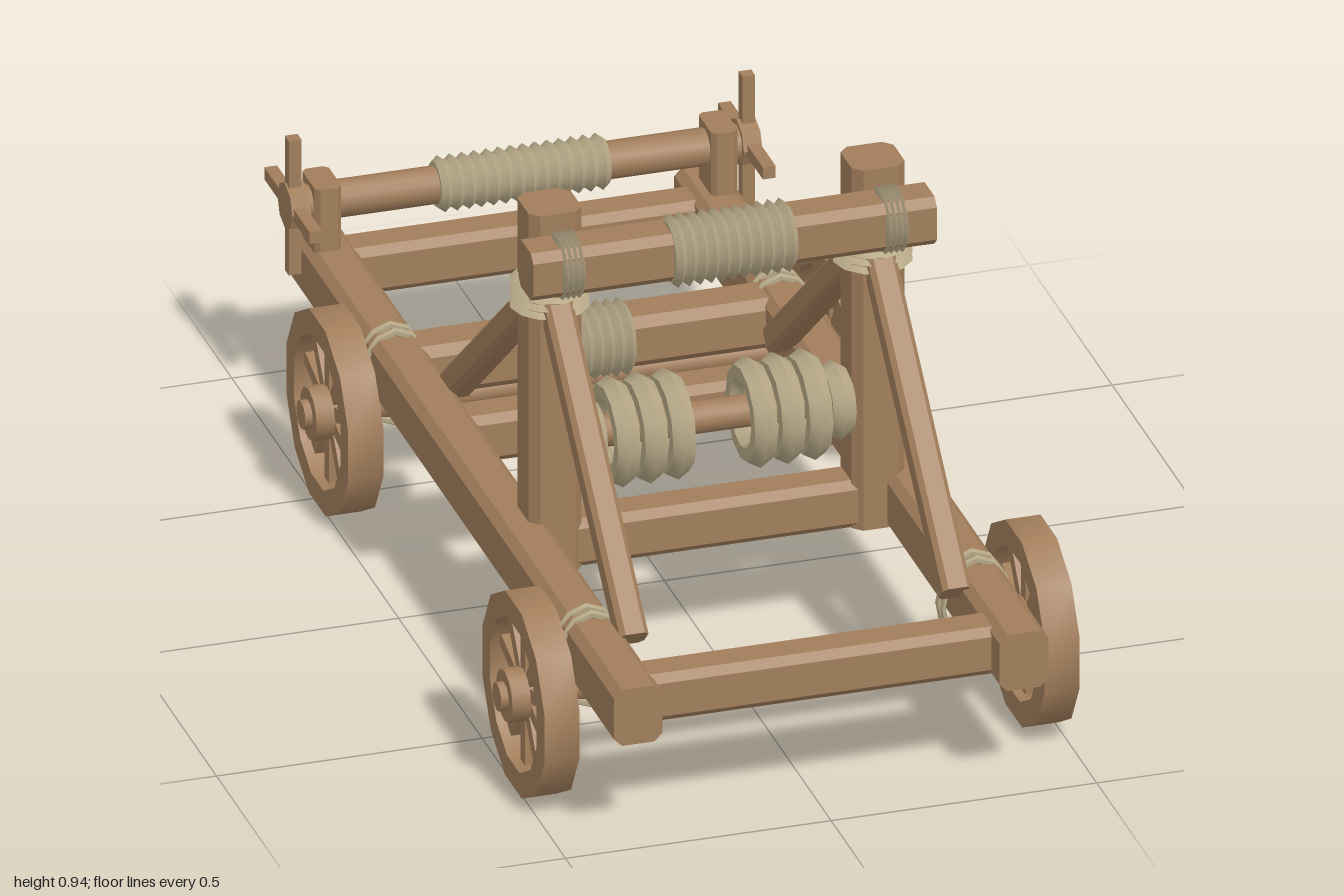
import * as THREE from 'three';
import { toCreasedNormals } from 'three/addons/utils/BufferGeometryUtils.js';

const wood = new THREE.MeshStandardMaterial({ color: 0xa27e5b });
wood.name = 'wood';
const rope = new THREE.MeshStandardMaterial({ color: 0xb5a786 });
rope.name = 'rope';

export function createModel() {
  const model = new THREE.Group();
  model.name = 'siegeEngine';
  const V = (x, y, z) => new THREE.Vector3(x, y, z);

  function add(name, geometry, material, parent = model) {
    const mesh = new THREE.Mesh(toCreasedNormals(geometry, 0.6), material);
    mesh.name = name;
    parent.add(mesh);
    return mesh;
  }

  // Timber with chamfered edges running from a to b
  function beam(name, a, b, w, h = w) {
    const c = Math.min(w, h) * 0.17, x = w / 2, y = h / 2;
    const outline = [[x - c, -y], [x, -y + c], [x, y - c], [x - c, y],
      [-x + c, y], [-x, y - c], [-x, -y + c], [-x + c, -y]];
    const shape = new THREE.Shape(outline.map(p => new THREE.Vector2(...p)));
    const length = a.distanceTo(b);
    const geo = new THREE.ExtrudeGeometry(shape, { depth: length, bevelEnabled: false });
    geo.translate(0, 0, -length / 2);
    const mesh = add(name, geo, wood);
    mesh.position.copy(a).lerp(b, 0.5);
    mesh.lookAt(b);
    return mesh;
  }

  // Round pole along x
  function pole(name, r, length, y, z, x = 0, parent = model, sides = 12) {
    const geo = new THREE.CylinderGeometry(r, r, length, sides);
    geo.rotateZ(Math.PI / 2);
    const mesh = add(name, geo, wood, parent);
    mesh.position.set(x, y, z);
    return mesh;
  }

  // Rope winding with ridged turns, along y or x
  function winding(name, turns, inner, outer, length, pos, alongX = true) {
    const pts = [];
    for (let i = 0; i <= turns * 2; i++) {
      pts.push(new THREE.Vector2(i % 2 ? outer : inner, (i / (turns * 2) - 0.5) * length));
    }
    pts.unshift(new THREE.Vector2(0.001, -length / 2));
    pts.push(new THREE.Vector2(0.001, length / 2));
    const geo = new THREE.LatheGeometry(pts, 12);
    if (alongX) geo.rotateZ(Math.PI / 2);
    add(name, geo, rope).position.copy(pos);
  }

  // Spoked wheel, axis along x
  function wheel(name, x, y, z) {
    const group = new THREE.Group();
    group.name = name;
    group.position.set(x, y, z);
    model.add(group);
    const ring = r => Array.from({ length: 12 }, (_, i) => {
      const t = (i + 0.5) * Math.PI / 6;
      return new THREE.Vector2(Math.cos(t) * r, Math.sin(t) * r);
    });
    const shape = new THREE.Shape(ring(0.192));
    shape.holes.push(new THREE.Path(ring(0.145)));
    const rim = new THREE.ExtrudeGeometry(shape, { depth: 0.066, bevelEnabled: false });
    rim.translate(0, 0, -0.033);
    rim.rotateY(Math.PI / 2);
    add('rim', rim, wood, group);
    pole('hub', 0.05, 0.1, 0, 0, 0, group);
    for (let i = 0; i < 10; i++) {
      const spoke = new THREE.BoxGeometry(0.03, 0.12, 0.026);
      spoke.translate(0, 0.095, 0);
      spoke.rotateX(i * Math.PI / 5);
      add('spoke', spoke, wood, group);
    }
  }

  // Base frame cross members
  for (const z of [0.91, 0.28, -0.165, -0.865]) {
    beam('crossMember', V(-0.33, 0.272, z), V(0.33, 0.272, z), 0.085, 0.095);
  }
  beam('ropeBar', V(-0.33, 0.275, -0.45), V(0.33, 0.275, -0.45), 0.1);
  winding('ropeBarWinding', 7, 0.06, 0.072, 0.14, V(0, 0.275, -0.445));

  // Axles
  for (const z of [0.7, -0.475]) pole('axle', 0.027, 1.07, 0.192, z);

  // Top beam with its padding
  beam('topBeam', V(-0.38, 0.873, 0.38), V(0.38, 0.873, 0.38), 0.09, 0.095);
  winding('topBeamPadding', 11, 0.056, 0.068, 0.23, V(0, 0.873, 0.385));

  // Torsion bar and winch drum
  pole('torsionBar', 0.03, 0.56, 0.475, 0.28);
  pole('winchDrum', 0.035, 0.88, 0.41, -0.865);
  winding('winchRope', 14, 0.043, 0.052, 0.32, V(0, 0.41, -0.865));

  for (const s of [-1, 1]) {
    // Rails, uprights and braces
    beam('sideRail', V(s * 0.363, 0.273, -0.95), V(s * 0.363, 0.273, 1), 0.092, 0.113);
    beam('upright', V(s * 0.304, 0.225, 0.28), V(s * 0.304, 0.95, 0.28), 0.1);
    beam('frontBrace', V(s * 0.304, 0.78, 0.3), V(s * 0.304, 0.31, 0.775), 0.054);
    beam('rearBrace', V(s * 0.304, 0.76, 0.25), V(s * 0.304, 0.315, -0.28), 0.054);

    // Lashings on the uprights and the top beam
    winding('uprightLashing', 4, 0.06, 0.074, 0.062, V(s * 0.304, 0.772, 0.28), false);
    winding('topBeamLashing', 4, 0.052, 0.063, 0.042, V(s * 0.304, 0.873, 0.38));

    // Torsion coils
    const coils = [[0.077, 0.077], [0.129, 0.077], [0.181, 0.077], [0.234, 0.048]];
    for (const [x, r] of coils) {
      const geo = new THREE.TorusGeometry(r, 0.025, 6, 12);
      geo.rotateY(Math.PI / 2);
      add('torsionCoil', geo, rope).position.set(s * x, 0.47, 0.28);
    }

    // Wheels and the rope loops tying each axle to its rail
    for (const z of [0.7, -0.475]) {
      wheel('wheel', s * 0.471, 0.192, z);
      for (const dz of [-0.014, 0.014]) {
        const loop = new THREE.TorusGeometry(0.09, 0.008, 6, 12);
        loop.scale(0.7, 1, 1);
        add('axleLashing', loop, rope).position.set(s * 0.363, 0.25, z + dz);
      }
    }

    // Winch bearing block and crossed handles
    beam('winchBlock', V(s * 0.373, 0.32, -0.865), V(s * 0.373, 0.455, -0.865), 0.05, 0.09);
    const block = model.children[model.children.length - 1];
    block.rotation.set(0, 0, 0);
    block.geometry.rotateX(-Math.PI / 2);
    pole('drumEnd', 0.045, 0.035, 0.41, -0.865, s * 0.425, model, 8);
    const handles = [[0.27, 0.024], [0.024, 0.27]];
    for (const [h, d] of handles) {
      add('winchHandle', new THREE.BoxGeometry(0.024, h, d), wood)
        .position.set(s * 0.427, 0.41, -0.865);
    }
  }
  return model;
}
